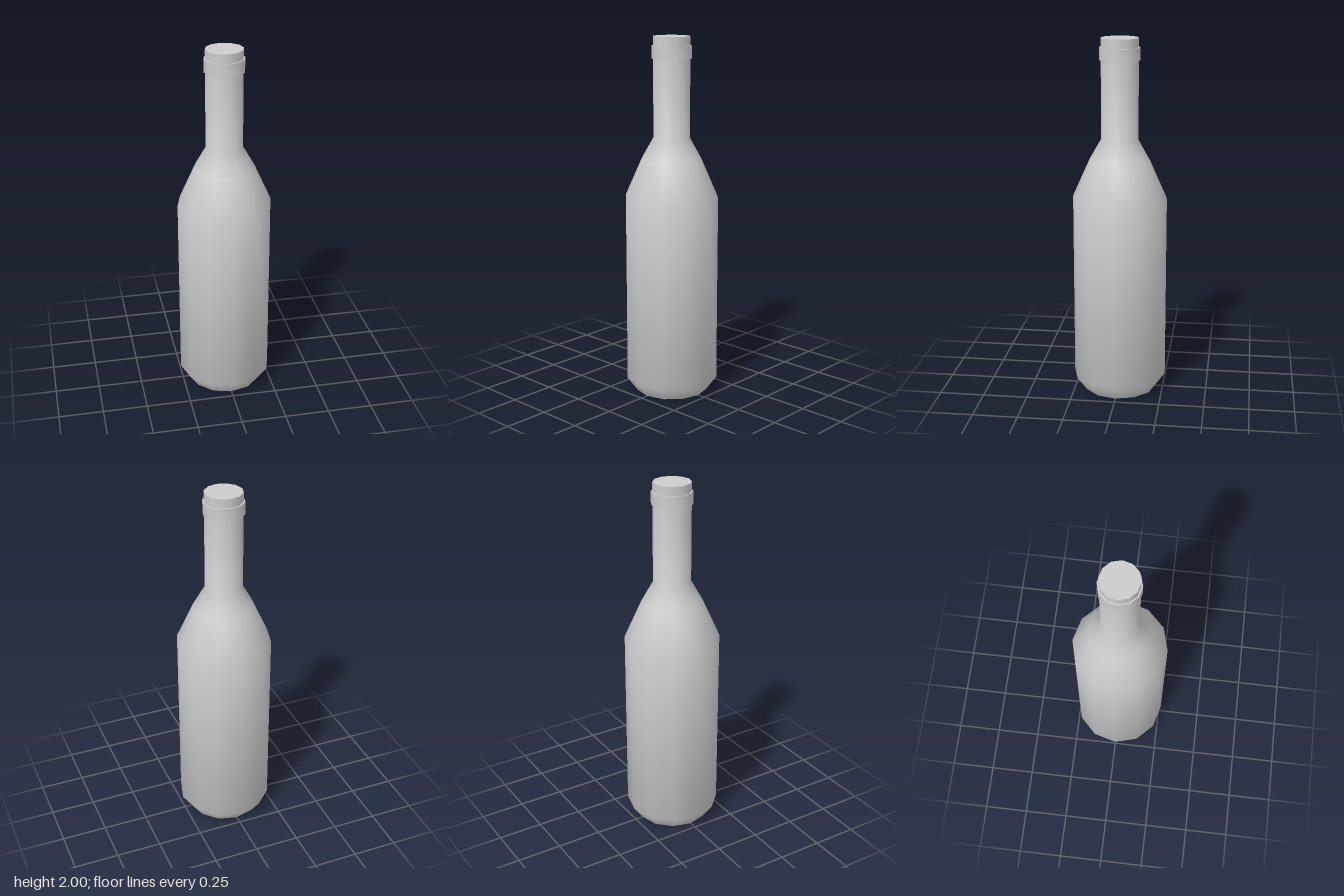
import * as THREE from 'three';
import { toCreasedNormals } from 'three/addons/utils/BufferGeometryUtils.js';

const SIDES = 12;
const CREASE = THREE.MathUtils.degToRad(50);

// Revolve a [radius, height] profile, listed from bottom to top
function turned(name, profile, material) {
  const points = profile.map(([r, y]) => new THREE.Vector2(r, y));
  const geometry = toCreasedNormals(new THREE.LatheGeometry(points, SIDES), CREASE);
  const mesh = new THREE.Mesh(geometry, material);
  mesh.name = name;
  return mesh;
}

export function createModel() {
  const group = new THREE.Group();
  group.name = 'bottle';
  const glass = new THREE.MeshStandardMaterial({ color: 0xcccccc });

  // Flat base, chamfered foot, straight body, shoulder, neck and closed top
  group.add(turned('bottleBody', [
    [0, 0], [0.205, 0], [0.262, 0.08], [0.262, 1.125],
    [0.168, 1.335], [0.103, 1.45], [0.103, 2], [0, 2],
  ], glass));

  // Raised collar just below the mouth
  group.add(turned('neckCollar', [
    [0.103, 1.88], [0.111, 1.88], [0.111, 1.95], [0.103, 1.95],
  ], glass));

  return group;
}
